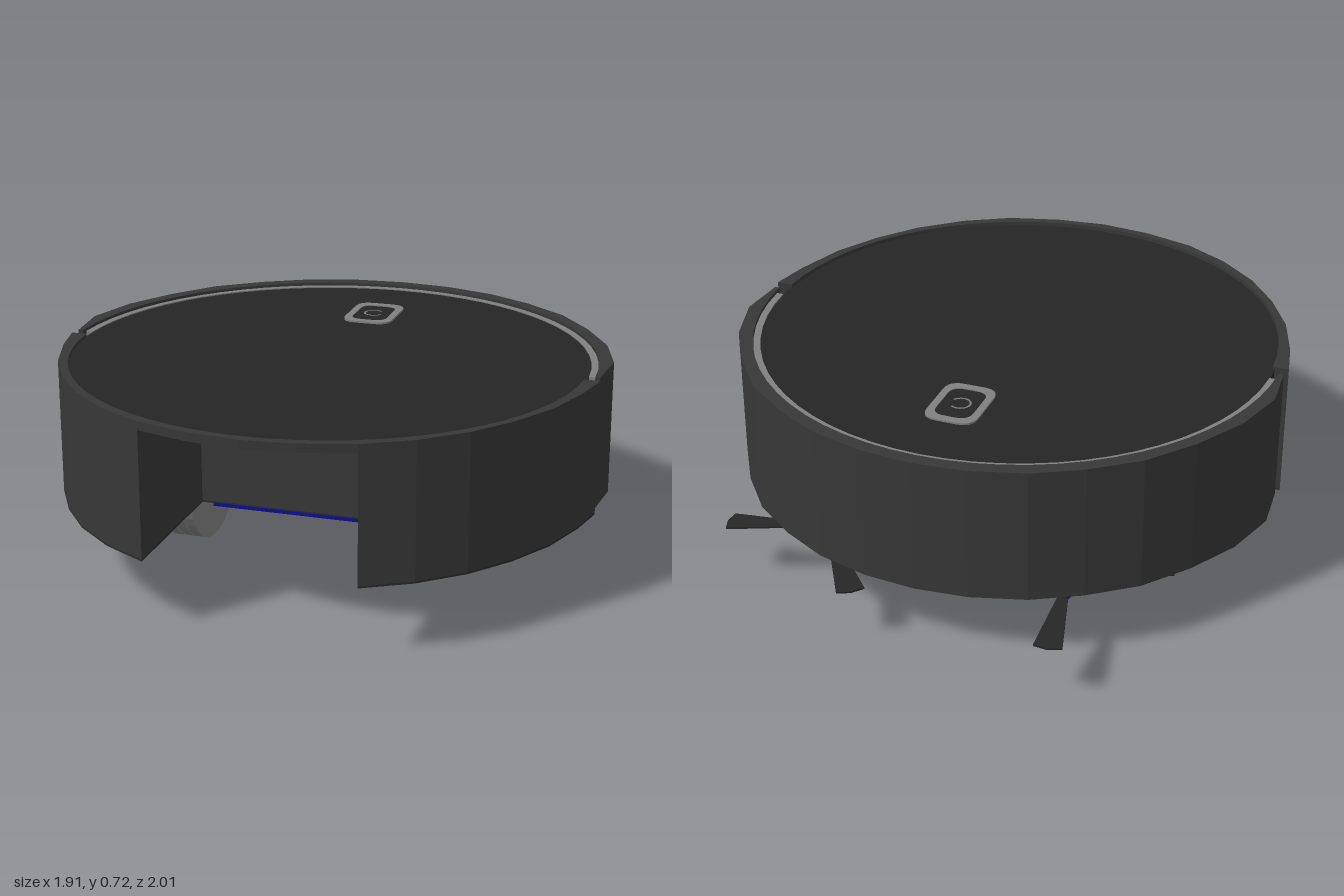
import * as THREE from 'three';

const mat = (name, color) => {
  const m = new THREE.MeshStandardMaterial({ color });
  m.name = name;
  return m;
};
const CZ = 0.07; // centre of the round body along z

// outline points are [x, z]; the slab spans y0..y1
function slab(points, y0, y1) {
  const shape = new THREE.Shape(points.map(([x, z]) => new THREE.Vector2(x, -z)));
  const g = new THREE.ExtrudeGeometry(shape, { depth: y1 - y0, bevelEnabled: false });
  g.rotateX(-Math.PI / 2);
  g.translate(0, y0, 0);
  return g;
}

// arc around the body centre; angle 0 is +x, 90 degrees is the front
function arc(r, fromDeg, toDeg, n = 32) {
  return Array.from({ length: n + 1 }, (_, i) => {
    const a = THREE.MathUtils.degToRad(fromDeg + ((toDeg - fromDeg) * i) / n);
    return [r * Math.cos(a), CZ + r * Math.sin(a)];
  });
}
const mirrored = (pts) => pts.map(([x, z]) => [-x, z]).reverse();

function roundedRect(w, h, r) {
  const s = new THREE.Shape(), x = w / 2, y = h / 2;
  s.moveTo(-x + r, -y);
  s.lineTo(x - r, -y).quadraticCurveTo(x, -y, x, -y + r);
  s.lineTo(x, y - r).quadraticCurveTo(x, y, x - r, y);
  s.lineTo(-x + r, y).quadraticCurveTo(-x, y, -x, y - r);
  s.lineTo(-x, -y + r).quadraticCurveTo(-x, -y, -x + r, -y);
  return s;
}

export function createModel() {
  const root = new THREE.Group();
  const shell = mat('charcoal shell', 0x373737);
  const cover = mat('dark cover', 0x252525);
  const under = mat('underside black', 0x2b2b2b);
  const grey = mat('mid grey', 0x808080);
  const blue = mat('deep blue', 0x0a0a9a);

  const add = (name, geo, material, x = 0, y = 0, z = 0, parent = root) => {
    const m = new THREE.Mesh(geo, material);
    m.name = name;
    m.position.set(x, y, z);
    parent.add(m);
    return m;
  };
  const box = (name, w, h, d, material, x, y, z) =>
    add(name, new THREE.BoxGeometry(w, h, d), material, x, y, z);

  // front half outline, from the left side to the notch, then on to the nose
  const side = [[0.95, 0.1], [0.92, 0.24], [0.86, 0.42], [0.77, 0.58], [0.66, 0.72], [0.52, 0.84], [0.36, 0.93]];
  const nose = [[0.18, 0.98], [0, 1], [-0.18, 0.98]];

  // main body with the rectangular notch, underside caps in black
  const body = [...side, [0.36, 0.38], [-0.36, 0.38], ...mirrored(side), ...arc(0.88, 178, 362)];
  add('body', slab(body, 0.252, 0.69), shell);
  add('undersidePlate', slab(body, 0.245, 0.252), under);
  add('frontRim', slab([...side, ...nose, ...mirrored(side), ...arc(0.895, 178, 2)], 0.69, 0.72), shell);

  // wrap-around rear bumper
  const bump = [[0.942, 0.063], [0.957, -0.116], [0.9, -0.307], [0.8, -0.48], [0.677, -0.635],
    [0.524, -0.75], [0.365, -0.836], [0.18, -0.889]];
  add('bumper', slab([...bump, [0, -0.905], ...mirrored(bump), ...arc(0.925, 180.5, 359.5)], 0.25, 0.72), shell);
  add('bumperTrim', slab([...arc(0.924, -2, -178), ...arc(0.9, -178, -2)], 0.27, 0.71), grey);

  // round top cover
  add('topCover', new THREE.CylinderGeometry(0.902, 0.902, 0.025, 64), cover, 0, 0.694, CZ);

  // control button: dark pad inside a light frame, with a small open ring
  const flat = (name, shape, y, depth, material) => {
    const g = new THREE.ExtrudeGeometry(shape, { depth, bevelEnabled: false, curveSegments: 6 });
    add(name, g.rotateX(-Math.PI / 2), material, 0, y, -0.487);
  };
  const frame = roundedRect(0.18, 0.25, 0.055);
  frame.holes.push(roundedRect(0.13, 0.19, 0.045));
  flat('buttonFrame', frame, 0.705, 0.008, grey);
  flat('buttonPad', roundedRect(0.13, 0.19, 0.045), 0.705, 0.005, cover);
  add('buttonRing', new THREE.RingGeometry(0.03, 0.037, 20, 1, 0.9, 4.9).rotateX(-Math.PI / 2), grey, 0, 0.712, -0.487);

  // raised rear panel under the body
  add('rearPanel', slab([[0.55, -0.32], [0.8, -0.17], ...arc(0.85, -18, -162), [-0.8, -0.17], [-0.55, -0.32]], 0.239, 0.246), under);

  // suction opening: blue frame with roller strips between dark bars
  box('openingFloor', 0.64, 0.004, 0.32, cover, 0, 0.244, 0.22);
  for (const z of [0.065, 0.37]) box('openingFrameLong', 0.64, 0.012, 0.022, blue, 0, 0.241, z);
  for (const x of [-0.31, 0.31]) box('openingFrameShort', 0.022, 0.012, 0.3, blue, x, 0.241, 0.218);
  for (const z of [0.14, 0.22, 0.3]) box('rollerStrip', 0.54, 0.008, 0.035, blue, 0, 0.241, z);
  for (const x of [-0.18, 0, 0.18]) box('openingBar', 0.025, 0.01, 0.28, under, x, 0.239, 0.218);

  // drive wheels: three offset tread rows, smooth sides and dark outer hub
  const treadMat = grey;
  for (const s of [1, -1]) {
    const wheel = new THREE.Group();
    wheel.name = s > 0 ? 'leftWheel' : 'rightWheel';
    wheel.position.set(s * 0.485, 0.247, CZ);
    root.add(wheel);
    const disc = (name, r, w, x, m, turn = 0) => {
      const g = new THREE.CylinderGeometry(r, r, w, 40).toNonIndexed();
      g.rotateY(turn);
      g.rotateZ(Math.PI / 2);
      g.computeVertexNormals();
      add(name, g, m, x, 0, 0, wheel);
    };
    disc('wheelCore', 0.241, 0.112, 0, grey);
    for (const i of [-1, 0, 1]) disc('treadRow', 0.246, 0.034, i * 0.038, treadMat, i ? 0 : Math.PI / 40);
    disc('wheelHub', 0.095, 0.045, s * 0.078, cover);
  }

  // swivel caster
  add('caster', new THREE.SphereGeometry(0.112, 24, 16).scale(1, 0.75, 1), grey, 0.02, 0.257, -0.52);

  // side brushes: blue three-cornered hub with three flared blades
  const blade = slab([[0.05, -0.01], [0.35, -0.047], [0.36, 0], [0.35, 0.047], [0.05, 0.01]], -0.003, 0.003);
  blade.rotateZ(-0.1);
  for (const [name, x, start] of [['leftBrush', 0.425, -7], ['rightBrush', -0.44, -98]]) {
    const brush = new THREE.Group();
    brush.name = name;
    brush.position.set(x, 0.238, -0.65);
    root.add(brush);
    add('brushHub', new THREE.CylinderGeometry(0.055, 0.045, 0.026, 18), blue, 0, -0.001, 0, brush);
    for (let i = 0; i < 3; i++) {
      const arm = new THREE.Group();
      arm.name = 'brushArm';
      arm.rotation.y = -THREE.MathUtils.degToRad(start + i * 120);
      brush.add(arm);
      add('armHolder', slab([[0, -0.05], [0.11, -0.018], [0.11, 0.018], [0, 0.05]], -0.012, 0.008), blue, 0, 0, 0, arm);
      add('blade', blade, cover, 0, 0.002, 0, arm);
    }
  }
  return root;
}
